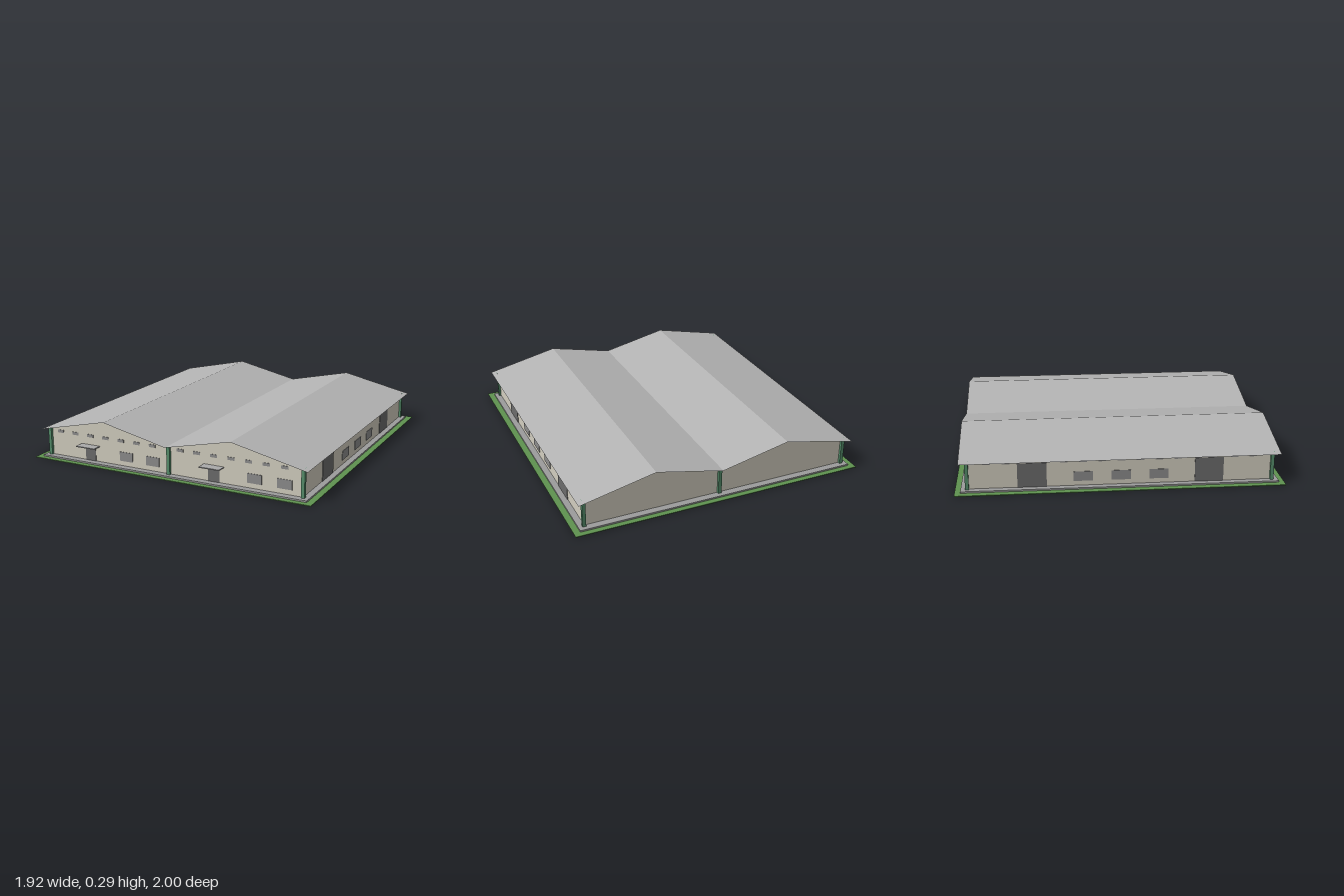
import * as THREE from 'three';

const mat = (color) => new THREE.MeshStandardMaterial({ color, flatShading: true });

export function createModel() {
  const model = new THREE.Group();
  const grass = mat(0x5f9350), concrete = mat(0x9c9c9c), wall = mat(0xd2cebf), green = mat(0x568f6c);
  const glass = mat(0x8c8c8c), doorGrey = mat(0x6c6c6c), canopyGrey = mat(0xaaaaaa);
  const roofMat = mat(0xb4b4b4);
  roofMat.side = THREE.DoubleSide;

  const HX = 0.88, HZ = 0.92, EAVE = 0.197, RIDGE = 0.295, SPAN = 0.884;
  const roofY = (x) => RIDGE - (RIDGE - EAVE) * Math.abs(Math.abs(x) - SPAN / 2) / (SPAN / 2);

  function box(name, material, w, h, d, x, y, z, parent = model) {
    const m = new THREE.Mesh(new THREE.BoxGeometry(w, h, d), material);
    m.name = name;
    m.position.set(x, y, z);
    parent.add(m);
    return m;
  }

  // Ground and floor slab
  box('ground', grass, 1.92, 0.005, 2, 0, 0.0025, 0);
  box('floorSlab', concrete, 1.84, 0.01, 1.93, 0, 0.01, 0);

  // Hall body with a twin gable
  const profile = new THREE.Shape();
  profile.moveTo(-HX, 0.015);
  profile.lineTo(HX, 0.015);
  for (const x of [HX, SPAN / 2, 0, -SPAN / 2, -HX]) profile.lineTo(x, roofY(x) - 0.002);
  const body = new THREE.Mesh(new THREE.ExtrudeGeometry(profile, { depth: 2 * HZ, bevelEnabled: false }), wall);
  body.name = 'walls';
  body.position.z = -HZ;
  model.add(body);

  // Thin folded roof sheet, overhanging on all sides
  const stations = [-0.926, -SPAN / 2, 0, SPAN / 2, 0.926];
  const sheet = new THREE.PlaneGeometry(2, 1.945, 4, 1).rotateX(-Math.PI / 2);
  const p = sheet.attributes.position;
  for (let i = 0; i < p.count; i++) {
    const x = stations[i % 5];
    p.setX(i, x);
    p.setY(i, roofY(x));
  }
  sheet.computeVertexNormals();
  const roof = new THREE.Mesh(sheet, roofMat);
  roof.name = 'roof';
  model.add(roof);

  // Columns at the corners and under the valley
  for (const z of [-0.926, 0.926])
    for (const x of [-0.884, 0, 0.884])
      box('column', green, 0.022, 0.18, 0.022, x, 0.105, z);

  // Panel set on a wall, local x along the wall, z outward
  const panel = (parent, name, material, u, y0, y1, w) =>
    box(name, material, w, y1 - y0, 0.006, u, (y0 + y1) / 2, 0, parent);

  // Front openings, the same for each bay
  const front = new THREE.Group();
  front.name = 'frontOpenings';
  front.position.z = HZ;
  model.add(front);
  for (const shift of [0, SPAN]) {
    for (let i = 0; i < 7; i++) panel(front, 'highWindow', glass, -0.807 + 0.1145 * i + shift, 0.167, 0.186, 0.046);
    panel(front, 'entranceDoor', doorGrey, -0.578 + shift, 0.015, 0.107, 0.076);
    for (const u of [-0.311, -0.119]) panel(front, 'window', glass, u + shift, 0.046, 0.105, 0.095);
    box('canopy', canopyGrey, 0.136, 0.006, 0.064, -0.578 + shift, 0.115, 0.032, front);
  }

  // Side openings, mirrored on both long walls
  for (const s of [-1, 1]) {
    const side = new THREE.Group();
    side.name = s > 0 ? 'leftOpenings' : 'rightOpenings';
    side.position.x = s * HX;
    side.rotation.y = s * Math.PI / 2;
    model.add(side);
    for (let i = -7; i <= 7; i++) {
      if (Math.abs(i) === 4 || Math.abs(i) === 5) continue;
      panel(side, 'highWindow', glass, 0.1153 * i, 0.166, 0.186, 0.047);
    }
    for (const u of [-0.23, 0, 0.23]) panel(side, 'window', glass, u, 0.044, 0.104, 0.117);
    for (const u of [-0.538, 0.538]) panel(side, 'largeDoor', doorGrey, u, 0.015, 0.168, 0.176);
  }
  return model;
}
